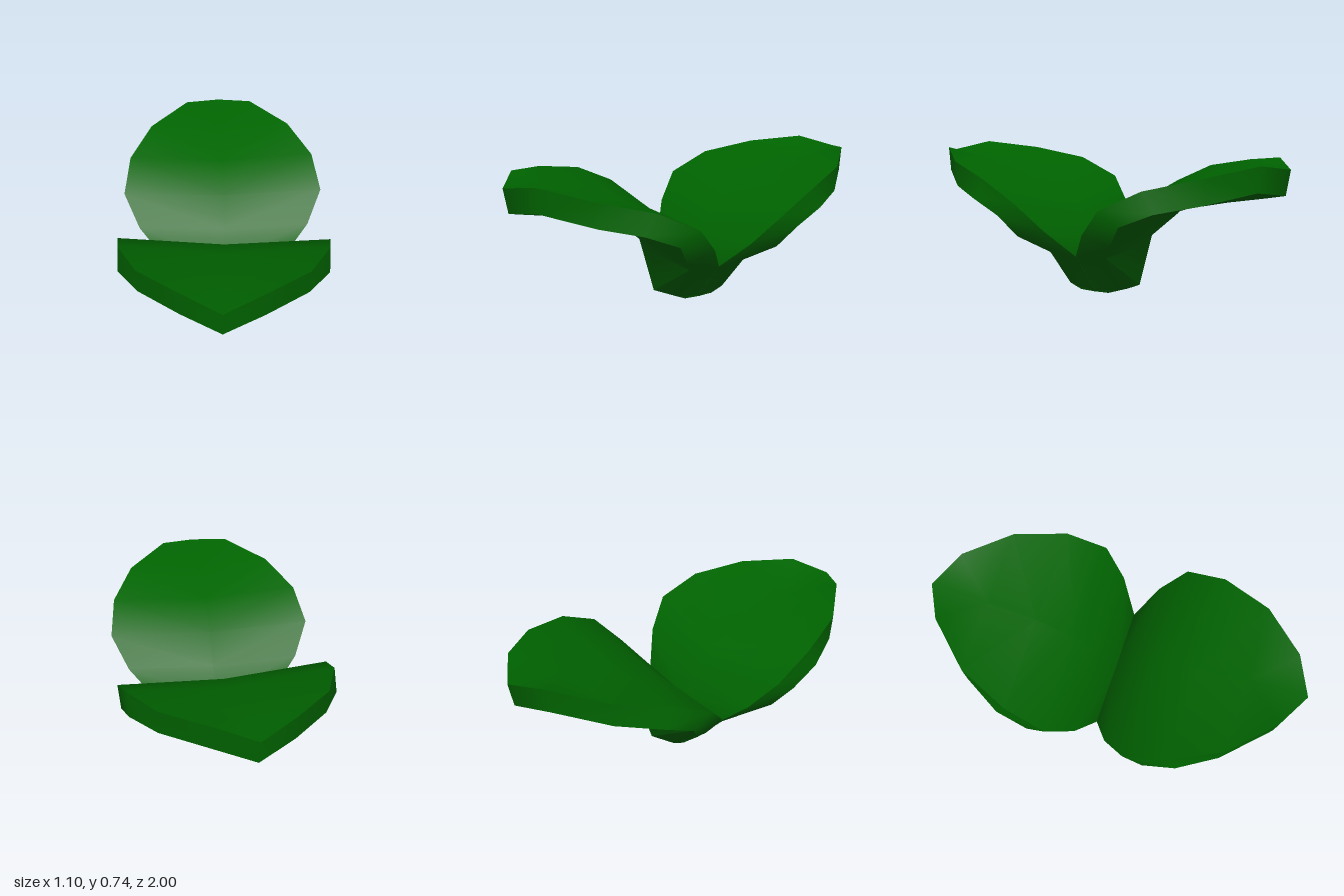
import * as THREE from 'three';
import { toCreasedNormals } from 'three/addons/utils/BufferGeometryUtils.js';

// Leaf cross-sections from stem foot to tip (d = distance from the middle):
// [upper rim x, y, d], [lower rim x, y, d], [upper middle y, d], [lower middle y, d]
const SECTIONS = [
  [[0.125, 0, -0.01], [0.12, 0, 0.08], [0, -0.01], [0, 0.14]],
  [[0.14, 0.025, -0.01], [0.125, 0.03, 0.145], [0.025, -0.01], [0.03, 0.21]],
  [[0.325, 0.235, -0.01], [0.31, 0.24, 0.155], [0.225, -0.01], [0.25, 0.21]],
  [[0.465, 0.385, 0.095], [0.47, 0.345, 0.25], [0.36, 0.1], [0.345, 0.295]],
  [[0.545, 0.53, 0.22], [0.54, 0.46, 0.325], [0.5, 0.23], [0.435, 0.38]],
  [[0.515, 0.635, 0.43], [0.515, 0.53, 0.49], [0.595, 0.44], [0.49, 0.53]],
  [[0.4, 0.695, 0.69], [0.4, 0.565, 0.68], [0.65, 0.69], [0.52, 0.69]],
  [[0.19, 0.74, 0.9], [0.19, 0.61, 0.89], [0.69, 0.9], [0.555, 0.88]],
  [[0, 0.705, 1], [0, 0.575, 0.98], [0.705, 1], [0.575, 0.98]],
];

// Closed ring of six points around one section
function ring([top, bottom, topMid, bottomMid]) {
  const p = (x, y, d) => new THREE.Vector3(x, y, -d);
  return [
    p(-top[0], top[1], top[2]), p(0, ...topMid), p(...top),
    p(...bottom), p(0, ...bottomMid), p(-bottom[0], bottom[1], bottom[2]),
  ];
}

function leafGeometry() {
  const rings = SECTIONS.map(ring);
  const positions = [];
  const tri = (a, b, c) => {
    if (new THREE.Triangle(a, b, c).getArea() < 1e-6) return;
    for (const v of [a, b, c]) positions.push(v.x, v.y, v.z);
  };
  // skin between neighbouring rings, diagonals mirrored about the midrib
  for (let i = 0; i < rings.length - 1; i++) {
    for (let j = 0; j < 6; j++) {
      const k = (j + 1) % 6;
      const a = rings[i][j], b = rings[i][k], c = rings[i + 1][k], d = rings[i + 1][j];
      if (j === 0 || j === 3 || j === 5) {
        tri(a, b, d);
        tri(b, c, d);
      } else {
        tri(a, b, c);
        tri(a, c, d);
      }
    }
  }
  // flat underside of the stem
  const foot = rings[0];
  for (let j = 1; j < 5; j++) tri(foot[0], foot[j + 1], foot[j]);

  const geometry = new THREE.BufferGeometry();
  geometry.setAttribute('position', new THREE.Float32BufferAttribute(positions, 3));
  return toCreasedNormals(geometry, 1.1);
}

export function createModel() {
  const group = new THREE.Group();
  group.name = 'sprout';
  const geometry = leafGeometry();
  const material = new THREE.MeshStandardMaterial({ color: 0x006400 });

  // two equal leaves back to back, the front one turned slightly aside
  for (const [name, turn] of [['backLeaf', 0], ['frontLeaf', Math.PI - 0.05]]) {
    const leaf = new THREE.Mesh(geometry, material);
    leaf.name = name;
    leaf.position.x = 0.005;
    leaf.rotation.y = turn;
    group.add(leaf);
  }
  return group;
}
